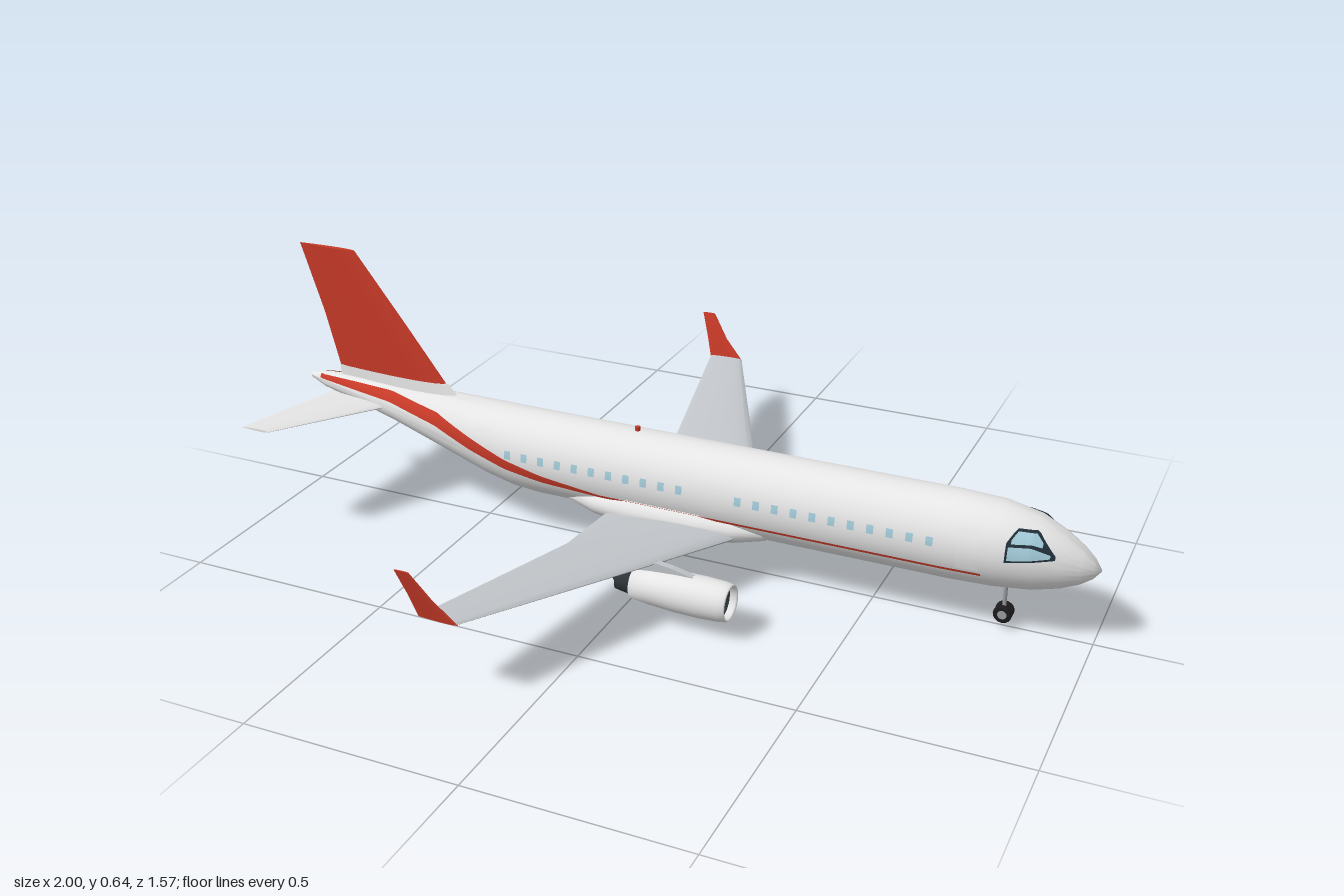
import * as THREE from 'three';
import { toCreasedNormals } from 'three/addons/utils/BufferGeometryUtils.js';

const mat = (name, color, side = THREE.FrontSide) => {
  const m = new THREE.MeshStandardMaterial({ color, side });
  m.name = name;
  return m;
};

// Fuselage stations: x, top, bottom, half width
const STATIONS = [
  [-1, 0.295, 0.283, 0.004], [-0.955, 0.306, 0.265, 0.018], [-0.85, 0.31, 0.243, 0.037],
  [-0.74, 0.309, 0.215, 0.054], [-0.6, 0.308, 0.17, 0.073], [-0.47, 0.307, 0.125, 0.087],
  [-0.4, 0.306, 0.108, 0.092], [-0.33, 0.306, 0.102, 0.094], [0.68, 0.306, 0.102, 0.094],
  [0.78, 0.302, 0.105, 0.09], [0.86, 0.286, 0.113, 0.077], [0.92, 0.257, 0.128, 0.056],
  [0.96, 0.23, 0.145, 0.037], [0.985, 0.208, 0.162, 0.019], [1, 0.187, 0.181, 0.002],
];

// Fuselage cross-section at any x
function section(x) {
  let i = 0;
  while (i < STATIONS.length - 2 && STATIONS[i + 1][0] < x) i++;
  const a = STATIONS[i], b = STATIONS[i + 1], t = (x - a[0]) / (b[0] - a[0]);
  const [top, bottom, w] = [1, 2, 3].map((k) => a[k] + (b[k] - a[k]) * t);
  return { cy: (top + bottom) / 2, ry: (top - bottom) / 2, w };
}

// Ring in the yz plane
function ellipse(x, cy, ry, rz, n = 48) {
  return Array.from({ length: n }, (_, i) => {
    const a = (i / n) * Math.PI * 2;
    return [x, cy + Math.sin(a) * ry, Math.cos(a) * rz];
  });
}

// Aerofoil ring; upright sections get their thickness along z
function foil(lead, trail, y, z, t, upright = false, n = 20) {
  return Array.from({ length: n }, (_, i) => {
    const a = (i / n) * Math.PI * 2;
    const x = (lead + trail) / 2 + ((lead - trail) / 2) * Math.cos(a);
    const h = (t / 2) * Math.sin(a) * (0.75 + 0.35 * Math.cos(a));
    return upright ? [x, y, z + h] : [x, y + h, z];
  });
}

// Capped skin over closed rings, always wound outwards
function loft(rings, crease = 0.75) {
  const n = rings[0].length, pts = rings.flat(), idx = [];
  for (let r = 0; r < rings.length - 1; r++) for (let i = 0; i < n; i++) {
    const a = r * n + i, b = r * n + ((i + 1) % n);
    idx.push(a, b, a + n, b, b + n, a + n);
  }
  const last = (rings.length - 1) * n;
  for (let i = 1; i < n - 1; i++) idx.push(0, i + 1, i, last, last + i, last + i + 1);
  const v = pts.map((p) => new THREE.Vector3(...p)), c = new THREE.Vector3();
  let volume = 0;
  for (let i = 0; i < idx.length; i += 3) {
    volume += v[idx[i]].dot(c.crossVectors(v[idx[i + 1]], v[idx[i + 2]]));
  }
  if (volume < 0) idx.reverse();
  const g = new THREE.BufferGeometry();
  g.setAttribute('position', new THREE.Float32BufferAttribute(pts.flat(), 3));
  g.setIndex(idx);
  return toCreasedNormals(g, crease);
}

// Painted patch hugging the fuselage between two height curves
function patch(side, x0, x1, low, high, off = 0.0015, nx = 4, ny = 4) {
  const g = new THREE.PlaneGeometry(1, 1, nx, ny), p = g.attributes.position;
  for (let i = 0; i < p.count; i++) {
    const x = x0 + (x1 - x0) * (p.getX(i) + 0.5);
    const y = low(x) + (high(x) - low(x)) * (p.getY(i) + 0.5);
    const s = section(x), k = THREE.MathUtils.clamp((y - s.cy) / s.ry, -0.99, 0.99);
    const z = s.w * Math.sqrt(1 - k * k);
    p.setXYZ(i, x, s.cy + k * (s.ry + off), side * (z + off));
  }
  g.computeVertexNormals();
  return g;
}

// Piecewise linear height curve
const curve = (...k) => (x) => {
  let i = 0;
  while (i < k.length - 2 && k[i + 1][0] < x) i++;
  const [a, b] = [k[i], k[i + 1]];
  return a[1] + ((b[1] - a[1]) * (x - a[0])) / (b[0] - a[0]);
};
const level = (y) => () => y;

export function createModel() {
  const white = mat('body white', 0xececec), grey = mat('wing grey', 0xc2c6ca);
  const red = mat('red paint', 0xc83a28), dark = mat('dark metal', 0x2c3236);
  const redPaint = mat('red stripe', 0xc83a28, THREE.DoubleSide);
  const glass = mat('window blue', 0xa4cddb, THREE.DoubleSide);
  const frame = mat('window frame', 0x22303a, THREE.DoubleSide);
  const tyre = mat('tyre black', 0x1c1c1e), steel = mat('steel grey', 0x9a9ea2);

  const model = new THREE.Group();
  model.name = 'airliner';
  const add = (name, geometry, material, parent = model) => {
    const m = new THREE.Mesh(geometry, material);
    m.name = name;
    parent.add(m);
    return m;
  };
  const lathe = (pts) => new THREE.LatheGeometry(pts.map(([r, x]) => new THREE.Vector2(r, x)), 32).rotateZ(-Math.PI / 2);
  const cyl = (r, h, x, y, z) => new THREE.CylinderGeometry(r, r, h, 16).translate(x, y, z);

  // Body
  add('fuselage', loft(STATIONS.map(([x]) => { const s = section(x); return ellipse(x, s.cy, s.ry, s.w); })), white);
  add('bellyFairing', loft([[-0.3, 0.004, 0.01], [-0.25, 0.03, 0.06], [-0.17, 0.047, 0.092], [-0.08, 0.056, 0.104],
    [0.1, 0.056, 0.104], [0.18, 0.047, 0.094], [0.25, 0.03, 0.07], [0.3, 0.004, 0.02]]
    .map(([x, ry, rz]) => ellipse(x, 0.134, ry, rz, 32))), white);
  add('beacon', cyl(0.006, 0.012, -0.09, 0.31, 0), red);

  // Tail fin on its white base
  add('finBase', loft([foil(-0.56, -0.91, 0.29, 0, 0.046, true), foil(-0.6, -0.912, 0.333, 0, 0.036, true)]), white);
  add('tailFin', loft([foil(-0.605, -0.91, 0.332, 0, 0.035, true), foil(-0.71, -0.945, 0.47, 0, 0.028, true),
    foil(-0.843, -1, 0.64, 0, 0.015, true)]), red);

  for (const s of [1, -1]) {
    const hand = s > 0 ? 'right' : 'left';

    // Wing, winglet and tailplane
    add(hand + 'Wing', loft([foil(0.234, -0.13, 0.12, 0, 0.046), foil(0.19, -0.13, 0.124, s * 0.09, 0.042),
      foil(0.092, -0.13, 0.142, s * 0.29, 0.028), foil(-0.135, -0.225, 0.188, s * 0.758, 0.01)]), grey);
    add(hand + 'Winglet', loft([foil(-0.133, -0.226, 0.186, s * 0.757, 0.009, true), foil(-0.183, -0.24, 0.238, s * 0.768, 0.008, true),
      foil(-0.225, -0.26, 0.3, s * 0.783, 0.005, true)]), red);
    add(hand + 'Tailplane', loft([foil(-0.735, -0.943, 0.257, 0, 0.022), foil(-0.76, -0.945, 0.26, s * 0.045, 0.02),
      foil(-0.9, -0.975, 0.284, s * 0.325, 0.007)]), white);

    // Stripe sweeping up over the tail
    add(hand + 'Swoosh', patch(s, -0.965, -0.15,
      curve([-0.965, 0.292], [-0.85, 0.287], [-0.74, 0.28], [-0.6, 0.252], [-0.5, 0.214], [-0.4, 0.184], [-0.3, 0.168], [-0.15, 0.159]),
      curve([-0.965, 0.301], [-0.85, 0.303], [-0.74, 0.301], [-0.6, 0.281], [-0.5, 0.244], [-0.4, 0.209], [-0.3, 0.186], [-0.15, 0.165]),
      0.002, 60, 5), redPaint);
    add(hand + 'Stripe', patch(s, -0.15, 0.76, level(0.159), level(0.165), 0.002, 20, 1), redPaint);

    // Cabin windows in two rows
    for (const [x0, count, step] of [[-0.39, 11, 0.0445], [0.2, 11, 0.0445]]) {
      for (let i = 0; i < count; i++) {
        const x = x0 + i * step;
        add(hand + 'CabinWindow', patch(s, x - 0.008, x + 0.008, level(0.212), level(0.232), 0.0015, 1, 3), glass);
      }
    }

    // Doors, slightly raised
    for (const [x, w, lo, hi] of [[0.73, 0.025, 0.17, 0.262], [0.15, 0.014, 0.19, 0.24], [-0.46, 0.02, 0.2, 0.27]]) {
      add(hand + 'Door', patch(s, x - w, x + w, level(lo), level(hi), 0.001, 4, 6),
        white);
    }

    // Cockpit glazing: dark frame with two panes
    add(hand + 'CockpitFrame', patch(s, 0.808, 0.91, curve([0.808, 0.204], [0.91, 0.216]),
      curve([0.808, 0.246], [0.825, 0.273], [0.868, 0.271], [0.91, 0.224]), 0.002, 16, 6), frame);
    add(hand + 'CockpitRearPane', patch(s, 0.813, 0.9, curve([0.813, 0.209], [0.9, 0.219]),
      curve([0.813, 0.238], [0.86, 0.24], [0.9, 0.226]), 0.0035, 12, 4), glass);
    add(hand + 'CockpitUpperPane', patch(s, 0.818, 0.882, curve([0.818, 0.244], [0.86, 0.246], [0.882, 0.24]),
      curve([0.818, 0.252], [0.828, 0.268], [0.866, 0.266], [0.882, 0.249]), 0.0035, 12, 4), glass);

    // Engine
    const engine = new THREE.Group();
    engine.name = hand + 'Engine';
    engine.position.set(0, 0.081, s * 0.288);
    model.add(engine);
    add('nacelle', lathe([[0, 0.036], [0.037, 0.036], [0.042, 0.08], [0.046, 0.14], [0.047, 0.2], [0.045, 0.25],
      [0.042, 0.265], [0.04, 0.268], [0.037, 0.264], [0.036, 0.25]]), white, engine);
    add('intake', lathe([[0.0362, 0.252], [0.036, 0.232], [0, 0.232]]), dark, engine);
    add('exhaust', lathe([[0, -0.02], [0.01, -0.01], [0.024, -0.004], [0.03, 0.037]]), dark, engine);
    add('spinner', lathe([[0.012, 0.232], [0.009, 0.246], [0, 0.256]]), steel, engine);
    for (let i = 0; i < 12; i++) {
      add('fanBlade', new THREE.BoxGeometry(0.002, 0.024, 0.004).rotateY(0.6).translate(0.235, 0.022, 0)
        .rotateX((i * Math.PI) / 6), steel, engine);
    }
    const side = new THREE.Shape([[-0.02, 0.06], [0.03, 0.02], [0.17, 0.04], [0.18, 0.046], [0.13, 0.058], [0.07, 0.066]]
      .map(([x, y]) => new THREE.Vector2(x, y)));
    add('pylon', new THREE.ExtrudeGeometry(side, { depth: 0.016, bevelEnabled: false }).translate(0, 0, -0.008), grey, engine);
  }

  // Landing gear: strut, axle and paired wheels
  const gear = (name, x, z, r, gap, width, top) => {
    const g = new THREE.Group();
    g.name = name;
    g.position.set(x, 0, z);
    model.add(g);
    const y = name === 'noseGear' ? 0.034 : r;
    add('strut', cyl(r * 0.22, top - y, 0, (top + y) / 2, 0), steel, g);
    add('axle', cyl(r * 0.16, gap * 2, 0, 0, 0).rotateX(Math.PI / 2).translate(0, y, 0), steel, g);
    for (const s of [1, -1]) {
      const tread = [[0.5, -0.5], [0.88, -0.5], [1, -0.25], [1, 0.25], [0.88, 0.5], [0.5, 0.5]]
        .map(([a, b]) => new THREE.Vector2(a * r, b * width));
      add('tyre', new THREE.LatheGeometry(tread, 24).rotateX(Math.PI / 2).translate(0, y, s * gap), tyre, g);
      add('hub', cyl(r * 0.52, width * 0.85, 0, 0, 0).rotateX(Math.PI / 2).translate(0, y, s * gap), steel, g);
    }
  };
  gear('noseGear', 0.8, 0, 0.021, 0.011, 0.011, 0.12);
  gear('rightMainGear', -0.045, 0.163, 0.031, 0.016, 0.017, 0.13);
  gear('leftMainGear', -0.045, -0.163, 0.031, 0.016, 0.017, 0.13);
  return model;
}
